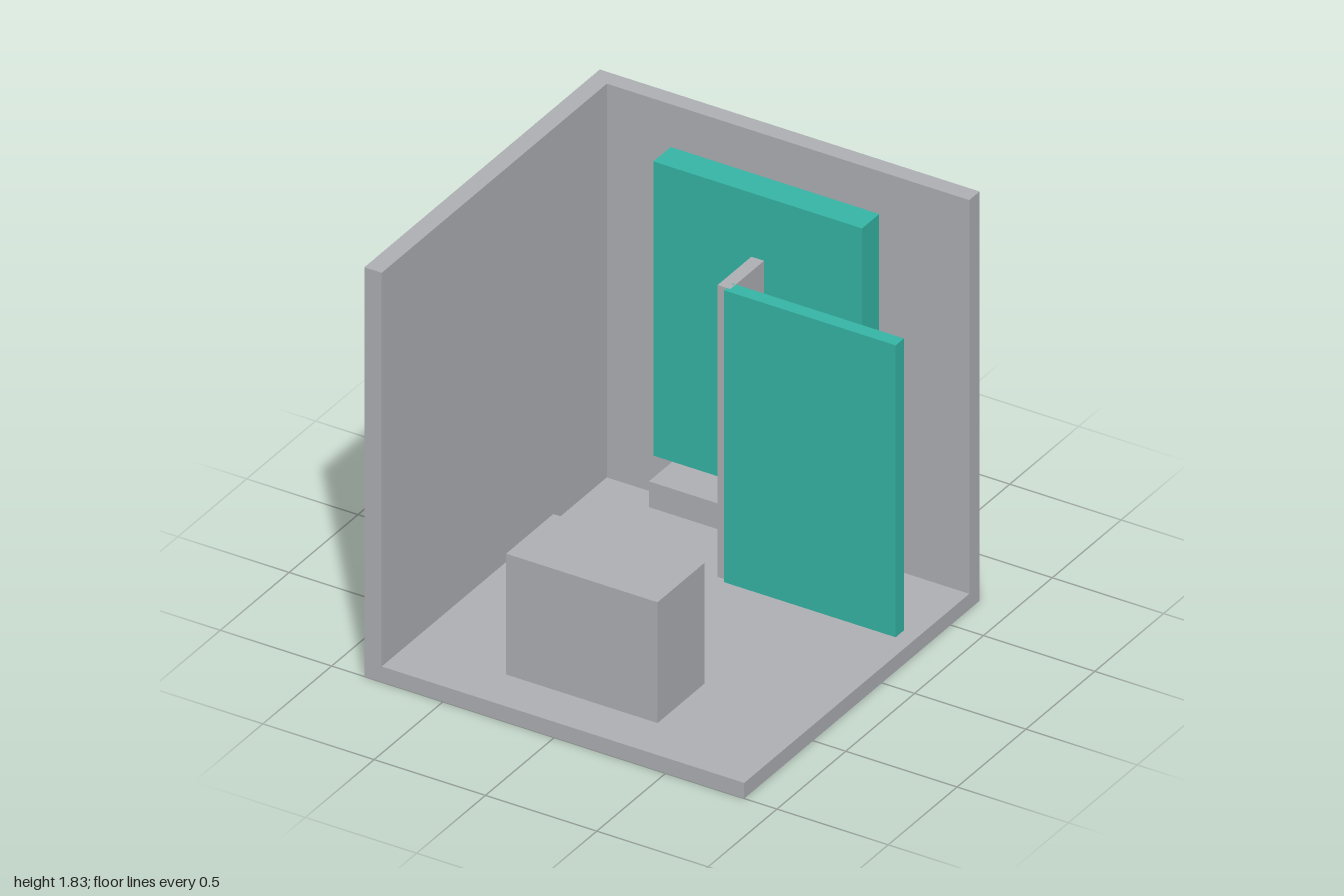
import * as THREE from 'three';

export function createModel() {
  const model = new THREE.Group();
  model.name = 'roomCorner';

  const grey = new THREE.MeshStandardMaterial({ color: 0xb1b2b6 });
  grey.name = 'plain grey';
  const teal = new THREE.MeshStandardMaterial({ color: 0x36b7a8 });
  teal.name = 'teal';

  // Box given by its lowest and highest corner
  function box(name, material, [x0, y0, z0], [x1, y1, z1]) {
    const mesh = new THREE.Mesh(new THREE.BoxGeometry(x1 - x0, y1 - y0, z1 - z0), material);
    mesh.position.set((x0 + x1) / 2, (y0 + y1) / 2, (z0 + z1) / 2);
    mesh.name = name;
    model.add(mesh);
  }

  // Room shell: floor and two walls
  box('floor', grey, [-0.853, 0, -0.71], [0.853, 0.07, 1]);
  box('backWall', grey, [-0.853, 0, -0.71], [0.853, 1.83, -0.635]);
  box('sideWall', grey, [-0.853, 0, -0.71], [-0.775, 1.83, 1]);

  // Upright divider passing through the back wall
  box('divider', grey, [-0.03, 0, -1], [0.027, 1.375, -0.235]);

  // Upright slabs
  box('backPanel', teal, [-0.47, 0.345, -0.605], [0.467, 1.66, -0.48]);
  box('doorPanel', teal, [0.012, 0, -0.275], [0.782, 1.375, -0.215]);

  // Ledge under the back panel, and the free-standing block
  box('ledge', grey, [-0.385, 0.23, -0.565], [0.382, 0.345, -0.31]);
  box('block', grey, [-0.34, 0.03, 0.457], [0.34, 0.61, 0.8]);

  return model;
}
